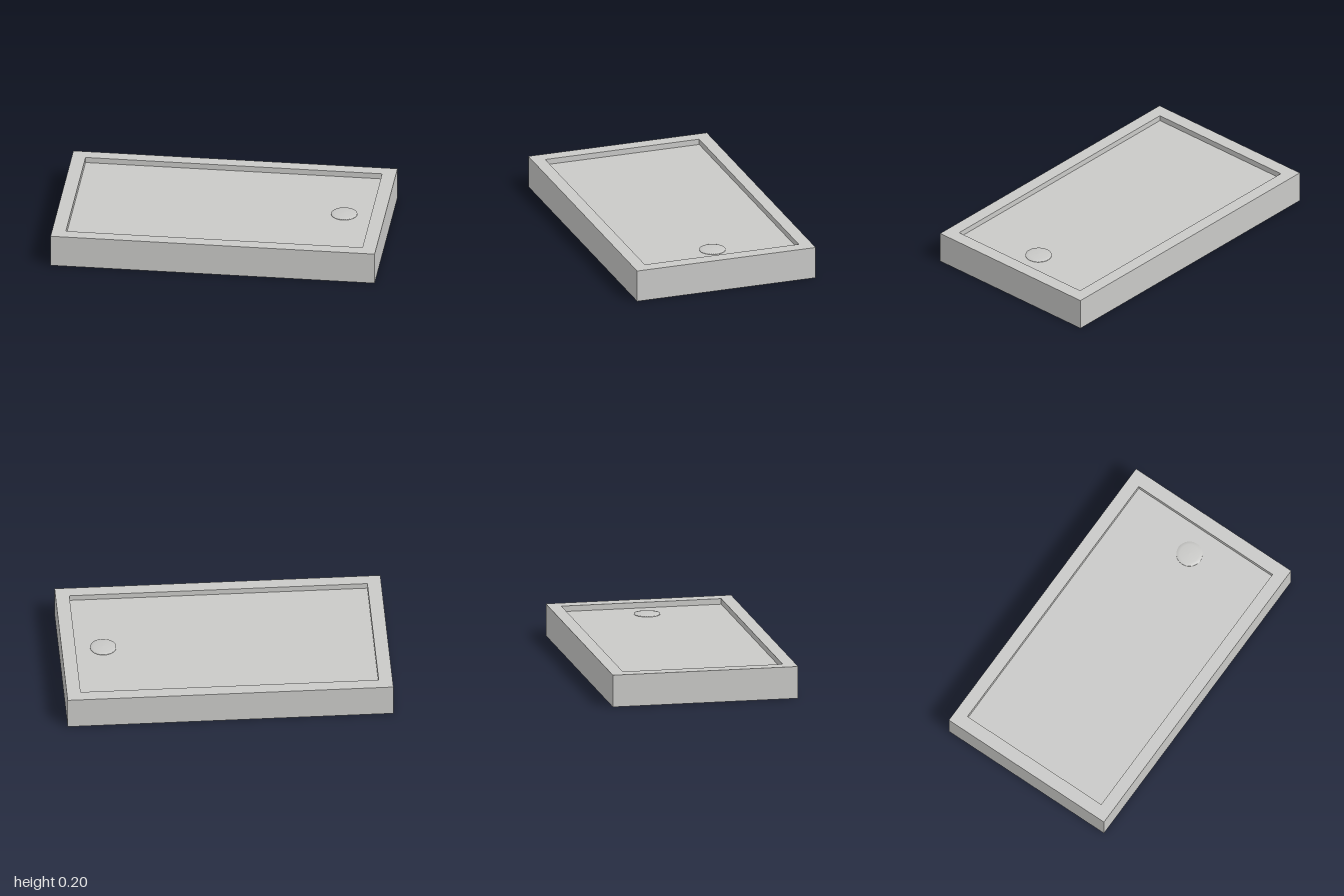
import * as THREE from 'three';

const mat = (name, color, side = THREE.FrontSide) => {
  const m = new THREE.MeshStandardMaterial({ color, side });
  m.name = name;
  return m;
};

// Rectangle outline with half sizes hx, hz
const rect = (Type, hx, hz) => new Type([
  [-hx, -hz], [hx, -hz], [hx, hz], [-hx, hz],
].map(([x, z]) => new THREE.Vector2(x, z)));

// Extrude a plan shape (x, z) upward from y0 to y1
function slab(shape, y0, y1) {
  const g = new THREE.ExtrudeGeometry(shape, { depth: y1 - y0, bevelEnabled: false, curveSegments: 40 });
  return g.rotateX(-Math.PI / 2).translate(0, y0, 0);
}

function frame(hx, hz, ix, iz, y0, y1) {
  const s = rect(THREE.Shape, hx, hz);
  s.holes.push(rect(THREE.Path, ix, iz));
  return slab(s, y0, y1);
}

export function createModel() {
  const group = new THREE.Group();
  const ceramic = mat('greyCeramic', 0xc9c9c7);
  const beige = mat('beigeInside', 0xc8c2ab);
  const cupMat = mat('whiteDrainCup', 0xe2e2e0, THREE.DoubleSide);
  const dark = mat('darkOutlet', 0x1c1c1c);

  const add = (name, geometry, material, x = 0, y = 0) => {
    const m = new THREE.Mesh(geometry, material);
    m.name = name;
    m.position.set(x, y, 0);
    group.add(m);
    return m;
  };

  const HX = 1, HZ = 0.58, BX = 0.915, BZ = 0.5, T = 0.025;
  const rimBase = 0.158, floorY = 0.165, baseY = 0.018, roofY = 0.105;
  const drainX = 0.742, cupR = 0.235;

  // Raised rim around the basin and thin skirt below it
  add('rim', frame(HX, HZ, BX, BZ, rimBase, 0.2), ceramic);
  add('skirt', frame(HX, HZ, HX - T, HZ - T, 0, rimBase), ceramic);
  add('skirtLining', frame(HX - T, HZ - T, HX - T - 0.003, HZ - T - 0.003, 0.001, rimBase), beige);

  // Basin floor, with its lower half cut out around the drain cup
  add('basinFloor', slab(rect(THREE.Shape, BX, BZ), roofY, floorY), ceramic);
  const dz = Math.sqrt(cupR ** 2 - (BX - drainX) ** 2);
  const a = Math.atan2(dz, BX - drainX);
  const base = new THREE.Shape();
  base.moveTo(-BX, -BZ);
  base.lineTo(BX, -BZ);
  base.lineTo(BX, -dz);
  base.absarc(drainX, 0, cupR, -a, a, true);
  base.lineTo(BX, BZ);
  base.lineTo(-BX, BZ);
  add('basinBase', slab(base, baseY, roofY), ceramic);

  // Drain cup open to below, its beige roof and the outlet
  add('drainCup', new THREE.CylinderGeometry(cupR, cupR, roofY - baseY, 48, 1, true),
    cupMat, drainX, (roofY + baseY) / 2);
  add('drainRoof', new THREE.CylinderGeometry(cupR, cupR, 0.006, 48), beige, drainX, roofY - 0.003);
  add('drainOutlet', new THREE.CylinderGeometry(0.06, 0.06, 0.006, 32), dark, drainX, roofY - 0.005);

  // Slightly domed drain cover on the floor
  const cover = [[0.08, 0], [0.08, 0.006], [0.06, 0.009], [0.03, 0.011], [0, 0.012]]
    .map(([r, y]) => new THREE.Vector2(r, y));
  add('drainCover', new THREE.LatheGeometry(cover, 40), ceramic, drainX, floorY);

  return group;
}
